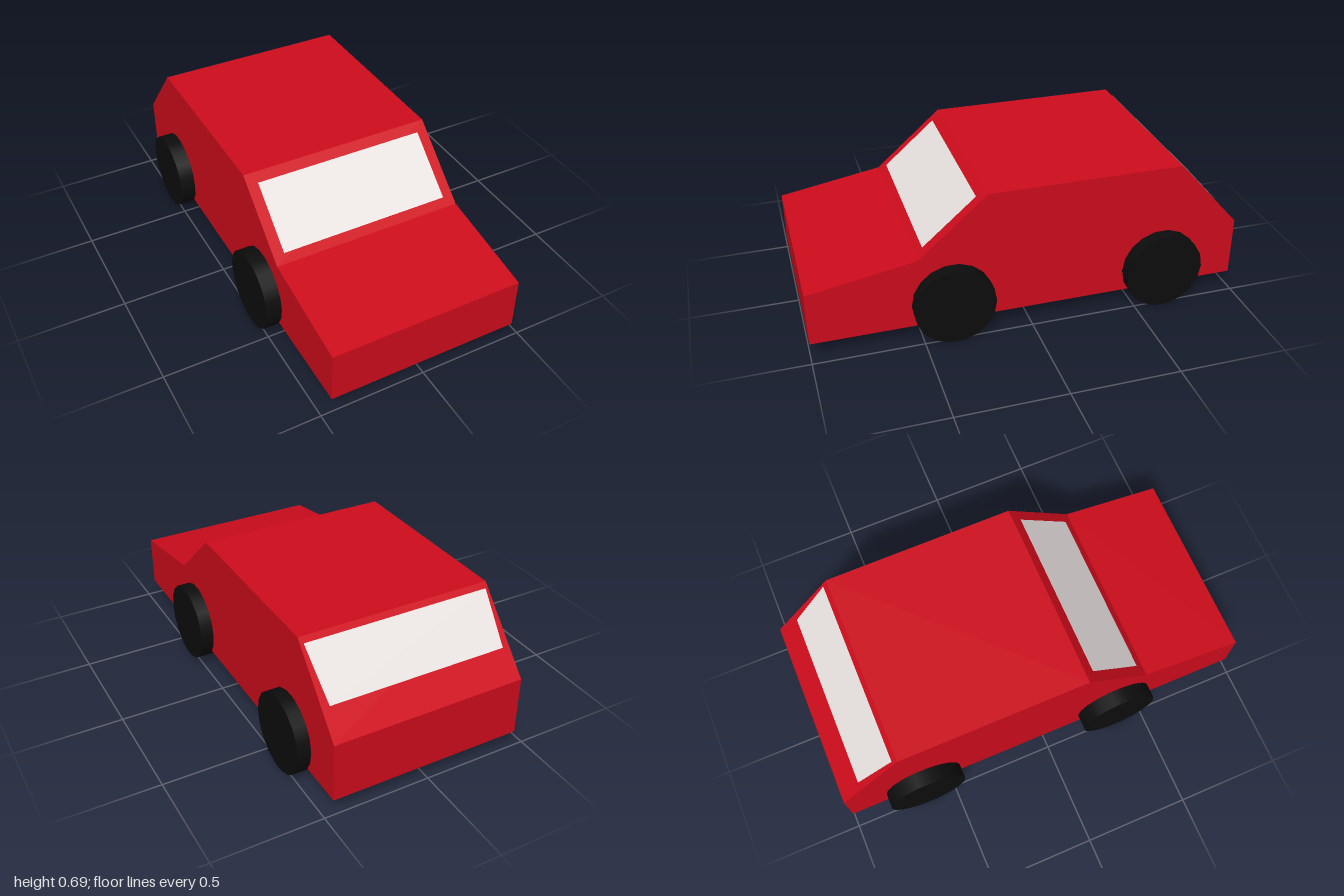
import * as THREE from 'three';

const MID_X = 0.005; // body centre line
const BODY_WIDTH = 0.91;

const paint = new THREE.MeshStandardMaterial({ color: 0xd00c1c });
const rubber = new THREE.MeshStandardMaterial({ color: 0x0d0d0d });
const glass = new THREE.MeshStandardMaterial({ color: 0xeae4e2, side: THREE.DoubleSide });

function addMesh(group, name, geometry, material) {
  const mesh = new THREE.Mesh(geometry, material);
  mesh.name = name;
  group.add(mesh);
  return mesh;
}

// Flat trapezoid pane between a bottom and a top edge; facing is +1 front, -1 rear
function paneGeometry(bottom, top, facing) {
  const corner = (edge, side) => [MID_X + side * facing * edge.half, edge.y, edge.z];
  const geometry = new THREE.BufferGeometry();
  geometry.setAttribute('position', new THREE.Float32BufferAttribute([
    ...corner(bottom, -1), ...corner(bottom, 1), ...corner(top, 1), ...corner(top, -1),
  ], 3));
  geometry.setIndex([0, 1, 2, 0, 2, 3]);
  geometry.computeVertexNormals();
  // lift the pane just clear of the bodywork
  const n = geometry.attributes.normal;
  geometry.translate(n.getX(0) * 0.003, n.getY(0) * 0.003, n.getZ(0) * 0.003);
  return geometry;
}

export function createModel() {
  const car = new THREE.Group();
  car.name = 'car';

  // Body: side profile (z, y) extruded across the width
  const profile = [
    [1, 0.08], [1, 0.33], [0.51, 0.415], [0.195, 0.69],
    [-0.705, 0.69], [-1, 0.36], [-1, 0.08],
  ].map(([z, y]) => new THREE.Vector2(z, y));
  const body = new THREE.ExtrudeGeometry(new THREE.Shape(profile), {
    depth: BODY_WIDTH, bevelEnabled: false,
  });
  body.rotateY(-Math.PI / 2).translate(MID_X + BODY_WIDTH / 2, 0, 0);
  addMesh(car, 'body', body, paint);

  // Windows on the sloping ends of the cabin
  addMesh(car, 'windshield', paneGeometry(
    { z: 0.476, y: 0.445, half: 0.405 }, { z: 0.233, y: 0.657, half: 0.405 }, 1), glass);
  addMesh(car, 'rearWindow', paneGeometry(
    { z: -0.9, y: 0.472, half: 0.42 }, { z: -0.725, y: 0.668, half: 0.44 }, -1), glass);

  // Wheels
  const wheel = new THREE.CylinderGeometry(0.185, 0.185, 0.138, 18).rotateZ(Math.PI / 2);
  for (const [end, z] of [['front', 0.36], ['rear', -0.63]]) {
    for (const [label, side] of [['Left', 1], ['Right', -1]]) {
      addMesh(car, `${end}${label}Wheel`, wheel, rubber).position.set(side * 0.453, 0.185, z);
    }
  }

  return car;
}
